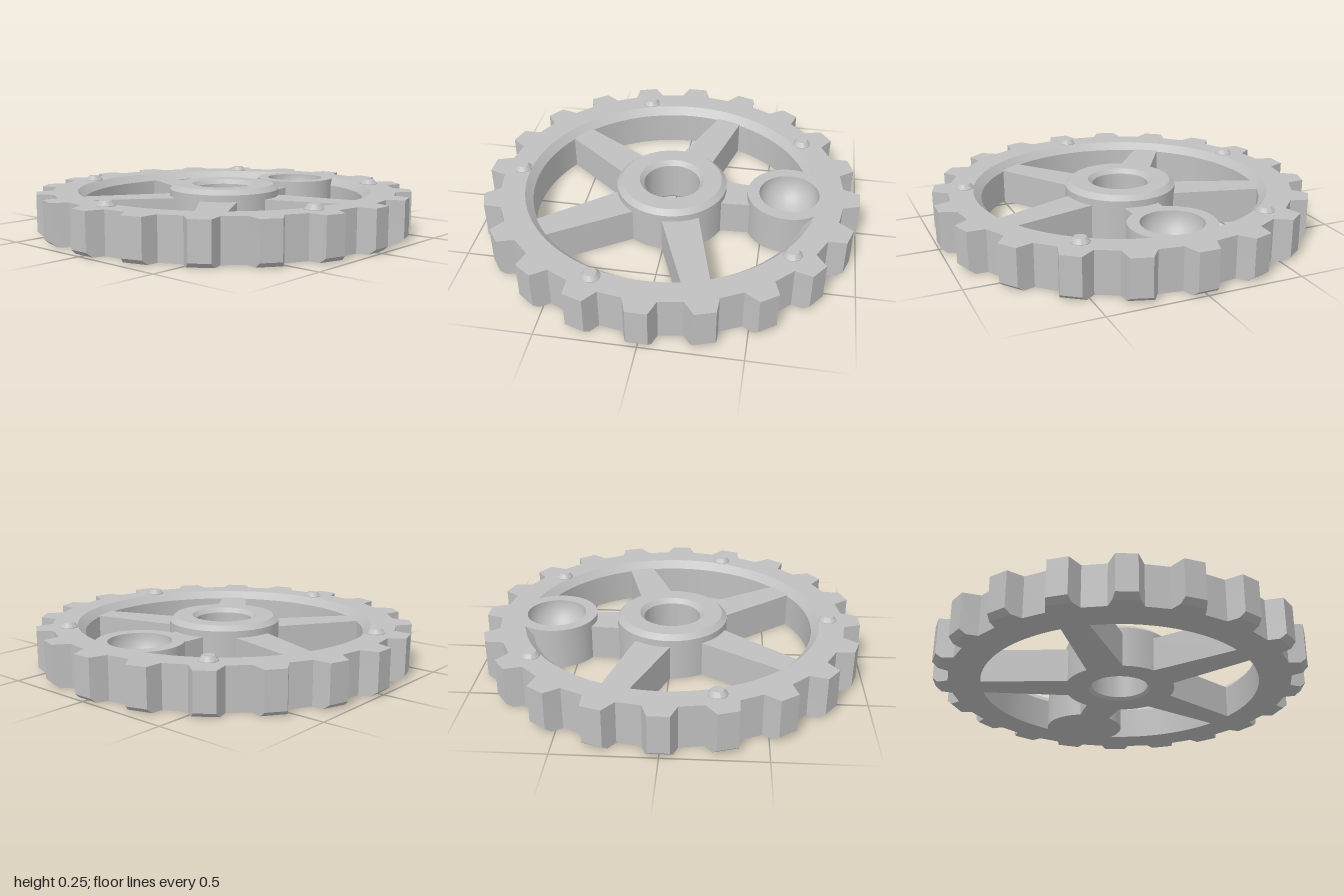
import * as THREE from 'three';
import { toCreasedNormals } from 'three/addons/utils/BufferGeometryUtils.js';

const HEIGHT = 0.22;
const TEETH = 20;
const SPOKES = 5;
const RAD = Math.PI / 180;
const CUP = { x: 0.63, outer: 0.22, bowl: 0.158 };

const polar = (r, a) => new THREE.Vector2(r * Math.cos(a), r * Math.sin(a));

function lathe(points, segments = 96) {
  const profile = points.map(([r, y]) => new THREE.Vector2(r, y));
  return toCreasedNormals(new THREE.LatheGeometry(profile, segments), 0.5);
}

// Toothed ring: chamfered under the tooth tips and along the upper inner edge
function rimGeometry() {
  const tip = 1.0, root = 0.915, tipHalf = 3.0 * RAD, rootHalf = 5.2 * RAD;
  const outline = [];
  for (let i = 0; i < TEETH; i++) {
    const a = (i / TEETH) * Math.PI * 2;
    outline.push(polar(root, a - rootHalf), polar(tip, a - tipHalf),
      polar(tip, a + tipHalf), polar(root, a + rootHalf));
  }
  const shape = new THREE.Shape(outline);
  const hole = [];
  for (let i = 0; i < 180; i++) hole.push(polar(0.785, (-i / 180) * Math.PI * 2));
  shape.holes.push(new THREE.Path(hole));

  const geo = new THREE.ExtrudeGeometry(shape, { depth: 3, steps: 3, bevelEnabled: false });
  const levels = [0, 0.025, 0.18, HEIGHT];
  const pos = geo.attributes.position;
  for (let i = 0; i < pos.count; i++) {
    const layer = Math.round(pos.getZ(i));
    const x = pos.getX(i), y = pos.getY(i);
    let r = Math.hypot(x, y), a = Math.atan2(y, x);
    if (r < 0.8) {
      if (layer < 3) r = 0.745;
      // step the inner wall back behind the bowl of the cup
      const s = CUP.x * Math.sin(a), wall = 0.19;
      if (Math.cos(a) > 0 && Math.abs(s) < wall) {
        r = Math.max(r, CUP.x * Math.cos(a) + Math.sqrt(wall * wall - s * s));
      }
    } else if (r > 0.96 && layer === 0) {
      // slide the lower tip corners down the tooth flanks
      const mid = Math.round(a / (18 * RAD)) * 18 * RAD;
      const t = 0.03 / (tip - root);
      a = mid + Math.sign(a - mid) * (tipHalf + t * (rootHalf - tipHalf));
      r = tip - 0.03;
    }
    pos.setXYZ(i, r * Math.cos(a), r * Math.sin(a), levels[layer]);
  }
  geo.rotateX(-Math.PI / 2);
  return toCreasedNormals(geo, 0.5);
}

// Tapered bar running outwards along +x
function spokeGeometry(end) {
  const start = 0.22;
  const half = (r) => 0.1 - 0.03 * (r - start) / (0.755 - start);
  const shape = new THREE.Shape([
    new THREE.Vector2(start, -half(start)), new THREE.Vector2(end, -half(end)),
    new THREE.Vector2(end, half(end)), new THREE.Vector2(start, half(start)),
  ]);
  const geo = new THREE.ExtrudeGeometry(shape, { depth: 0.185, bevelEnabled: false });
  return geo.rotateX(-Math.PI / 2);
}

export function createModel() {
  const model = new THREE.Group();
  model.name = 'spokedGear';
  const grey = new THREE.MeshStandardMaterial({ color: 0xc0c0c0 });
  grey.name = 'plain grey';

  const add = (name, geometry) => {
    const mesh = new THREE.Mesh(geometry, grey);
    mesh.name = name;
    model.add(mesh);
    return mesh;
  };

  add('toothedRim', rimGeometry());

  // Hub with a chamfered bore
  add('hub', lathe([
    [0.165, 0], [0.295, 0], [0.295, HEIGHT], [0.267, 0.245],
    [0.173, 0.245], [0.15, 0.222], [0.15, 0.015], [0.165, 0],
  ]));

  // Cup with a round bowl sunk into its top
  const cupProfile = [[0, 0], [CUP.outer, 0], [CUP.outer, HEIGHT]];
  for (let i = 0; i <= 20; i++) {
    const a = (i / 20) * Math.PI / 2;
    cupProfile.push([i === 20 ? 0 : CUP.bowl * Math.cos(a), HEIGHT - CUP.bowl * Math.sin(a)]);
  }
  add('cup', lathe(cupProfile, 72)).position.x = CUP.x;

  // Spokes, the first one stopping in the wall of the cup
  for (let i = 0; i < SPOKES; i++) {
    const a = (i / SPOKES) * Math.PI * 2;
    add('spoke', spokeGeometry(i === 0 ? 0.45 : 0.755)).rotation.y = a;
  }

  // Small studs on the rim, midway between the spokes
  const stud = lathe([[0.048, -0.03], [0.048, 0.003], [0.03, 0.025], [0, 0.025]], 32);
  for (let i = 0; i < SPOKES; i++) {
    const p = polar(0.832, ((i + 0.5) / SPOKES) * Math.PI * 2);
    add('stud', stud).position.set(p.x, HEIGHT, p.y);
  }

  return model;
}
